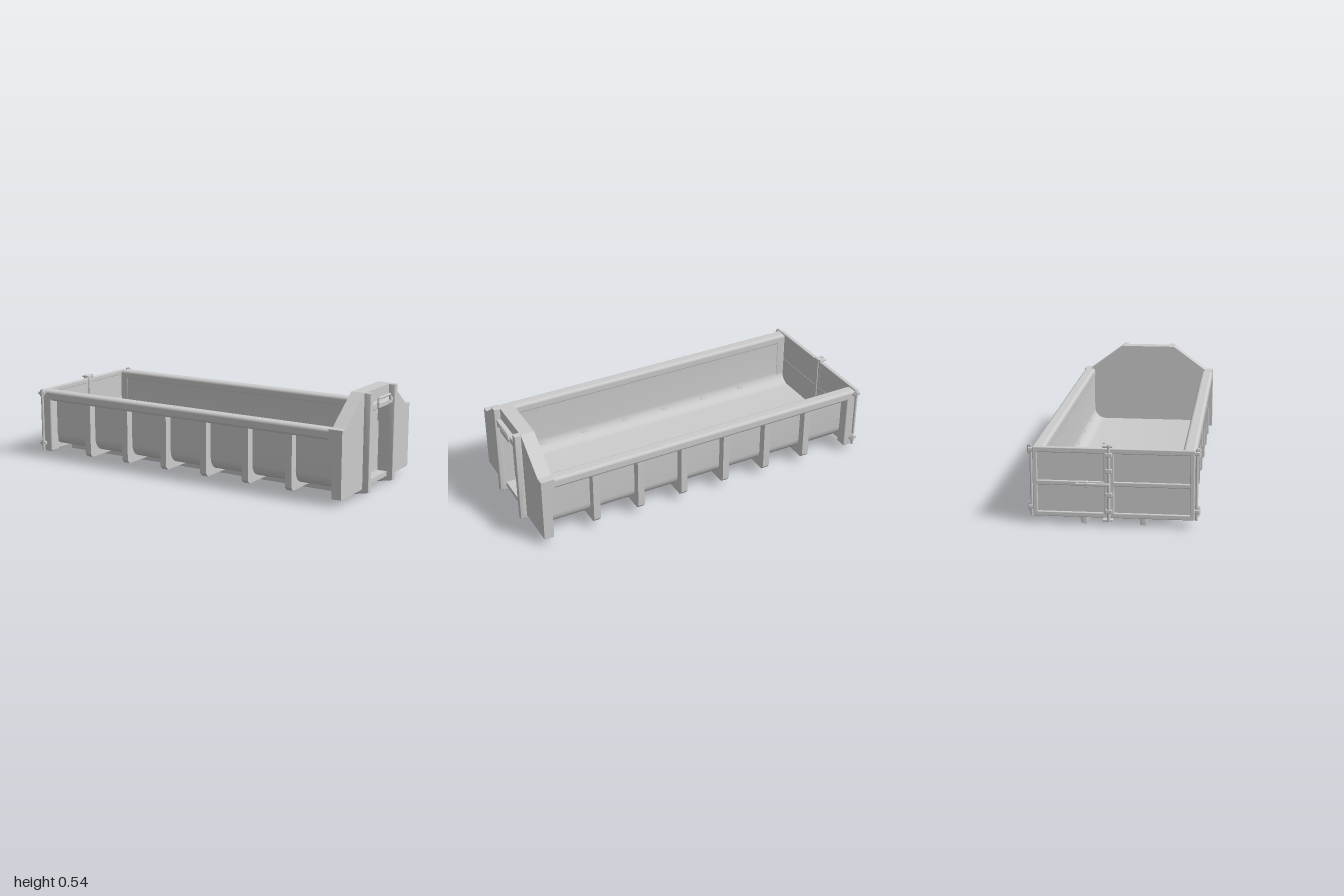
import * as THREE from 'three';
import { RoundedBoxGeometry } from 'three/addons/geometries/RoundedBoxGeometry.js';
import { toCreasedNormals } from 'three/addons/utils/BufferGeometryUtils.js';

const steel = new THREE.MeshStandardMaterial({ color: 0xcccccc, side: THREE.DoubleSide });

export function createModel() {
  const root = new THREE.Group();

  const add = (name, geometry, parent = root) => {
    const mesh = new THREE.Mesh(geometry, steel);
    mesh.name = name;
    parent.add(mesh);
    return mesh;
  };
  // Box given by its limits; r rounds the edges
  const box = (name, x0, x1, y0, y1, z0, z1, r = 0, parent = root) => {
    const size = [x1 - x0, y1 - y0, z1 - z0];
    const g = r ? new RoundedBoxGeometry(...size, 3, r) : new THREE.BoxGeometry(...size);
    g.translate((x0 + x1) / 2, (y0 + y1) / 2, (z0 + z1) / 2);
    return add(name, g, parent);
  };
  const rod = (name, r, x, y, z, len, axis = 'y', parent = root) => {
    const g = new THREE.CylinderGeometry(r, r, len, 14);
    if (axis === 'z') g.rotateX(Math.PI / 2);
    if (axis === 'x') g.rotateZ(Math.PI / 2);
    g.translate(x, y, z);
    return add(name, g, parent);
  };
  const outline = (pts) => new THREE.Shape(pts.map(([a, b]) => new THREE.Vector2(a, b)));
  // Extrude a (z, y) section along x
  const sectionX = (name, shape, x0, x1) => {
    const g = new THREE.ExtrudeGeometry(shape, { depth: x1 - x0, bevelEnabled: false, curveSegments: 8 });
    g.rotateY(Math.PI / 2).scale(1, 1, 1).translate(x0, 0, 0);
    return add(name, toCreasedNormals(g, 0.5));
  };
  const mirrored = (half) => [...half, ...half.map(([z, y]) => [-z, y]).reverse()];

  // Tub: floor and side walls with rounded lower corners
  const arc = (w, floor, r) => {
    const pts = [[w, 0.36]];
    for (let i = 0; i <= 8; i++) {
      const a = (i / 8) * Math.PI / 2;
      pts.push([w - r + r * Math.cos(a), floor + r - r * Math.sin(a)]);
    }
    return mirrored(pts);
  };
  sectionX('tub', outline([...arc(0.348, 0.062, 0.075), ...arc(0.338, 0.073, 0.068).reverse()]), -0.95, 0.9);

  // Ribs wrapping the sides and the underside, tapering outwards
  const ribSection = outline([
    ...mirrored([[0.392, 0.345], [0.392, 0.055], [0.375, 0.036]]),
    ...mirrored([[0.34, 0.345], [0.34, 0.135], [0.318, 0.085], [0.27, 0.066]]).reverse(),
  ]);
  for (let i = 0; i < 6; i++) {
    const x = -0.643 + i * 0.2585;
    sectionX('rib', ribSection, x - 0.019, x + 0.019);
  }

  // Top rails and rear corner posts
  for (const s of [1, -1]) {
    const lo = s > 0 ? 0.336 : -0.402, hi = s > 0 ? 0.402 : -0.336;
    box('topRail', -0.955, 0.93, 0.333, 0.392, lo, hi, 0.017);
    box('rearPost', -0.955, -0.9, 0.036, 0.385, lo, hi, 0.008);
  }
  box('rearSill', -0.955, -0.92, 0.036, 0.073, -0.395, 0.395, 0.005);

  // Front bulkhead: inner wall, raised rim and side wings around a central recess
  const head = [[0.402, 0.392], [0.36, 0.392], [0.16, 0.54]];
  sectionX('frontWall', outline(mirrored([[0.34, 0.064], [0.34, 0.392], ...head.slice(1)])), 0.88, 0.895);
  sectionX('frontRim', outline([
    ...mirrored([[0.13, 0.335], [0.402, 0.335], ...head]),
    [-0.13, 0.44], [0.13, 0.44],
  ]), 0.88, 0.955);
  for (const s of [1, -1]) {
    sectionX('frontWing', outline([[0.13, 0.036], [0.402, 0.036], [0.402, 0.36], [0.13, 0.36]]
      .map(([z, y]) => [s * z, y])), 0.902, 0.955);
  }
  box('recessFloor', 0.87, 0.955, 0.04, 0.066, -0.14, 0.14);

  // Skids running underneath and turning up into the hook posts
  for (const s of [1, -1]) {
    const g = new THREE.ExtrudeGeometry(outline([
      [-0.95, 0.004], [0.89, 0.004], [0.986, 0.024], [0.986, 0.536], [0.945, 0.536], [0.945, 0.065], [-0.95, 0.065],
    ]), { depth: 0.022, bevelThickness: 0.005, bevelSize: 0.004, bevelSegments: 3 });
    g.translate(0, 0, s * 0.146 - 0.011);
    add('skidAndPost', toCreasedNormals(g, 0.6));
  }

  // Lifting bar between the posts
  box('crossbar', 0.95, 0.98, 0.441, 0.476, -0.132, 0.132, 0.006);
  box('hookPad', 0.955, 0.99, 0.442, 0.476, -0.058, 0.058, 0.008);
  const grip = [[0.073, 0.476], [0.064, 0.5], [-0.064, 0.5], [-0.073, 0.476]];
  for (let i = 0; i < 3; i++) {
    const a = new THREE.Vector3(0.991, grip[i][1], grip[i][0]);
    const b = new THREE.Vector3(0.991, grip[i + 1][1], grip[i + 1][0]);
    add('liftingBar', new THREE.TubeGeometry(new THREE.LineCurve3(a, b), 1, 0.007, 10));
    add('barElbow', new THREE.SphereGeometry(0.007, 10, 8).translate(a.x, a.y, a.z));
  }
  add('barElbow', new THREE.SphereGeometry(0.007, 10, 8).translate(0.991, 0.476, -0.073));

  // Rear doors: framed leaves with a middle rail, hung on corner hinges
  for (const s of [1, -1]) {
    const door = new THREE.Group();
    door.name = s > 0 ? 'leftDoor' : 'rightDoor';
    root.add(door);
    const z0 = s > 0 ? -0.018 : -0.395, z1 = s > 0 ? 0.395 : -0.024;
    box('doorPanel', -0.966, -0.958, 0.045, 0.385, z0, z1, 0, door);
    for (const [a, b] of [[0.04, 0.064], [0.2, 0.222], [0.364, 0.39]])
      box('doorRail', -0.979, -0.956, a, b, z0, z1, 0.004, door);
    for (const [a, b] of [[z0, z0 + 0.022], [z1 - 0.022, z1]])
      box('doorStile', -0.979, -0.956, 0.04, 0.39, a, b, 0.004, door);
    rod('hingePost', 0.007, -0.958, 0.215, s * 0.405, 0.36, 'y', door);
    for (const y of [0.083, 0.374]) {
      rod('hingeBarrel', 0.011, -0.952, y, s * 0.413, 0.036, 'y', door);
      rod('hingePin', 0.007, -0.952, y - 0.002, s * 0.413, 0.05, 'y', door);
      box('hingeStrap', -0.975, -0.935, y - 0.009, y + 0.009, s * 0.402 - 0.016, s * 0.402 + 0.016, 0.003, door);
    }
  }

  // Door lock: upright bar, guides, end claws and handle
  const lock = new THREE.Group();
  lock.name = 'doorLock';
  root.add(lock);
  rod('lockBar', 0.008, -0.984, 0.217, -0.021, 0.385, 'y', lock);
  for (const y of [0.075, 0.16, 0.28, 0.36])
    box('lockGuide', -0.994, -0.97, y - 0.01, y + 0.01, -0.038, -0.004, 0.003, lock);
  for (const y of [0.03, 0.402]) {
    box('lockClaw', -0.99, -0.945, y - 0.005, y + 0.005, -0.052, -0.002, 0.003, lock);
    rod('clawPin', 0.006, -0.95, y, -0.045, 0.02, 'y', lock);
  }
  box('lockHandle', -1.0, -0.988, 0.205, 0.219, -0.185, -0.015, 0.004, lock);
  box('handleCatch', -0.998, -0.972, 0.198, 0.226, -0.14, -0.122, 0.003, lock);

  return root;
}
